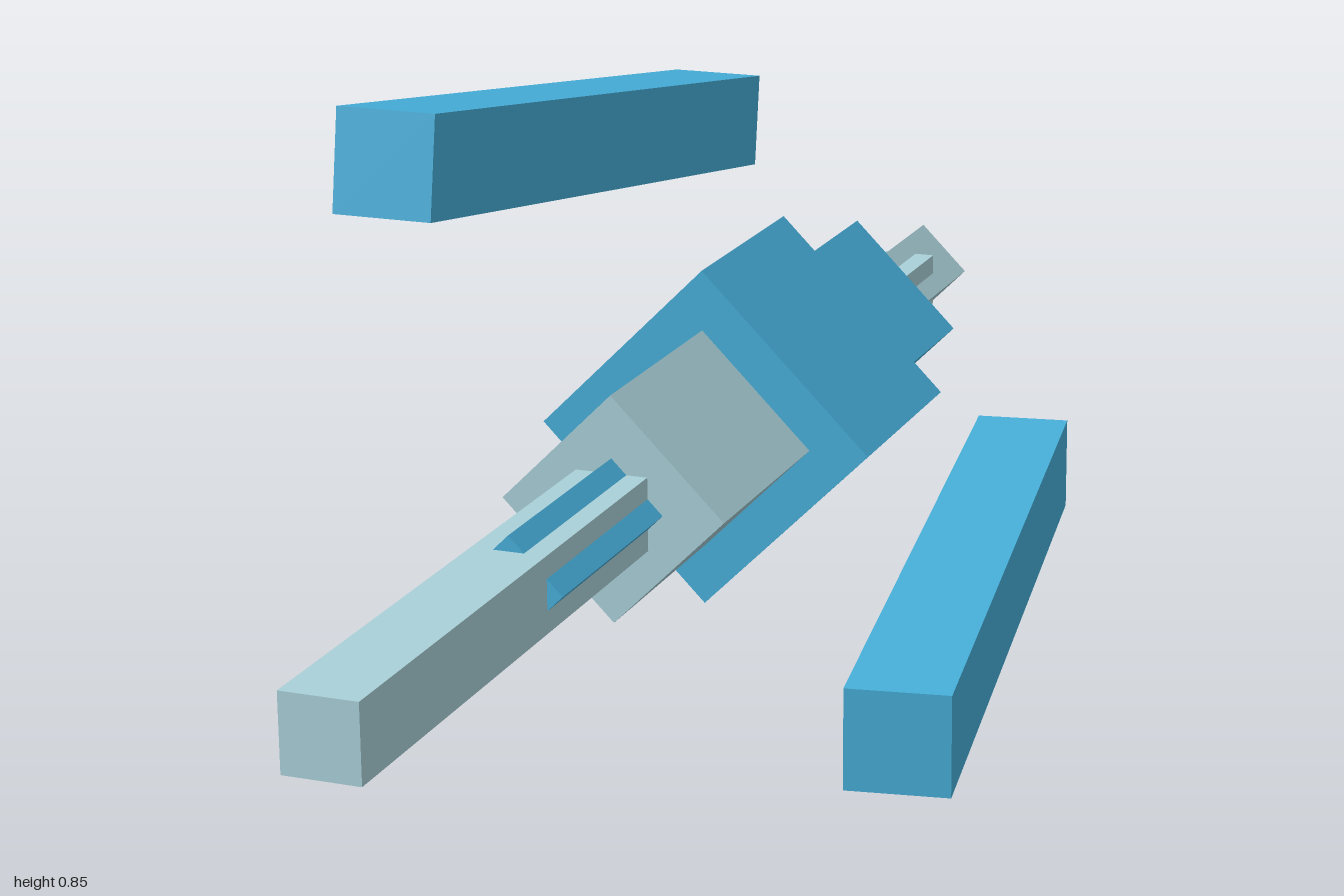
import * as THREE from 'three';

export function createModel() {
  const blue = new THREE.MeshStandardMaterial({ color: 0x47afda });
  blue.name = 'blue';
  const paleGrey = new THREE.MeshStandardMaterial({ color: 0xa9d0d8 });
  paleGrey.name = 'pale grey';

  const group = new THREE.Group();
  const AXIS_X = -0.2, AXIS_Y = 0.23;

  // square bar along z on the main axis, optionally turned to a diamond
  function segment(name, material, side, z0, z1, diamond) {
    const mesh = new THREE.Mesh(new THREE.BoxGeometry(side, side, z1 - z0), material);
    mesh.name = name;
    mesh.position.set(AXIS_X, AXIS_Y, (z0 + z1) / 2);
    if (diamond) mesh.rotation.z = Math.PI / 4;
    group.add(mesh);
  }

  // main body, stepped diamonds
  segment('body', blue, 0.322, -0.388, -0.084, true);
  segment('rearBody', blue, 0.209, -0.693, -0.388, true);
  segment('frontCollar', paleGrey, 0.209, -0.084, 0.221, true);

  // barrel with ridges breaking through its faces
  segment('barrel', paleGrey, 0.095, 0.221, 1, false);
  segment('barrelRidges', blue, 0.095, 0.221, 0.525, true);

  // tail with ridges breaking through its faces
  segment('tail', paleGrey, 0.095, -1, -0.693, true);
  segment('tailRidges', paleGrey, 0.095, -0.903, -0.693, false);

  // two detached bars, splayed outward towards the front
  function floatingBar(name, x, y, z, rotX, rotY) {
    const mesh = new THREE.Mesh(new THREE.BoxGeometry(0.114, 0.114, 0.96), blue);
    mesh.name = name;
    mesh.position.set(x, y, z);
    mesh.rotation.set(rotX, rotY, 0);
    group.add(mesh);
  }
  floatingBar('upperBar', AXIS_X, 0.725, 0.335, -0.158, 0);
  floatingBar('sideBar', 0.294, AXIS_Y, 0.335, 0, 0.158);

  return group;
}
